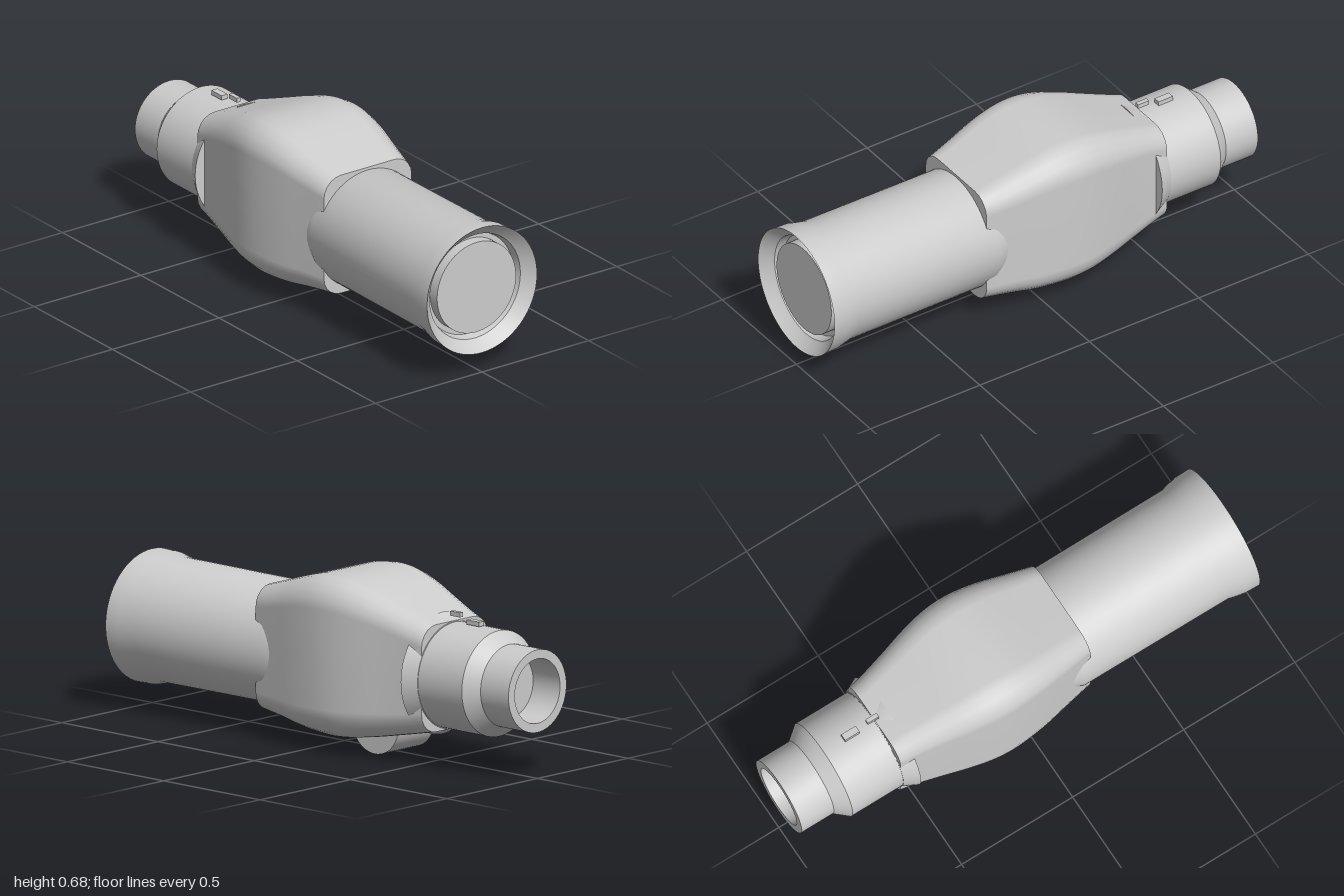
import * as THREE from 'three';
import { toCreasedNormals } from 'three/addons/utils/BufferGeometryUtils.js';

const AXIS_Y = 0.34;

// Turned part along x from [x, radius] pairs
function turned(name, profile, material) {
  const pts = profile.map(([x, r]) => new THREE.Vector2(r, x));
  const geo = new THREE.LatheGeometry(pts, 64).rotateZ(-Math.PI / 2);
  const mesh = new THREE.Mesh(toCreasedNormals(geo, 0.35), material);
  mesh.name = name;
  mesh.position.y = AXIS_Y;
  return mesh;
}

// Rounded-rectangle ring at x, as [x, y, z] points
function ring(x, top, bottom, halfWidth, radius) {
  const out = [], cy = (top + bottom) / 2, hy = (top - bottom) / 2, seg = 5;
  for (let q = 0; q < 4; q++) {
    const sz = q === 0 || q === 3 ? 1 : -1, sy = q < 2 ? 1 : -1;
    for (let i = 0; i <= seg; i++) {
      const a = (q + i / seg) * Math.PI / 2;
      out.push([x, cy + sy * (hy - radius) + radius * Math.sin(a),
        sz * (halfWidth - radius) + radius * Math.cos(a)]);
    }
  }
  return out;
}

// Loft through the rings, with flat end caps
function loft(rings) {
  const n = rings[0].length, last = rings.length - 1;
  const pos = rings.flat(2), idx = [];
  for (let i = 0; i < last; i++) {
    for (let j = 0; j < n; j++) {
      const k = (j + 1) % n, a = i * n, b = a + n;
      idx.push(a + j, b + j, a + k, b + j, b + k, a + k);
    }
  }
  for (const end of [0, last]) {
    const base = pos.length / 3;
    pos.push(...rings[end].flat());
    for (let j = 1; j < n - 1; j++) {
      if (end === 0) idx.push(base, base + j, base + j + 1);
      else idx.push(base, base + j + 1, base + j);
    }
  }
  const geo = new THREE.BufferGeometry();
  geo.setAttribute('position', new THREE.Float32BufferAttribute(pos, 3));
  geo.setIndex(idx);
  geo.computeVertexNormals();
  return geo;
}

export function createModel() {
  const group = new THREE.Group();
  group.name = 'scope';
  const grey = new THREE.MeshStandardMaterial({ color: 0xcccccc });
  grey.name = 'light grey';

  // Swollen housing: x, top, bottom, half width, corner radius
  const stations = [
    [-0.57, 0.55, 0.135, 0.183, 0.08],
    [-0.51, 0.572, 0.122, 0.192, 0.085],
    [-0.4, 0.613, 0.1, 0.216, 0.095],
    [-0.3, 0.65, 0.081, 0.241, 0.107],
    [-0.2, 0.677, 0.066, 0.26, 0.115],
    [-0.12, 0.685, 0.061, 0.266, 0.118],
    [-0.04, 0.68, 0.064, 0.262, 0.115],
    [0.05, 0.658, 0.073, 0.25, 0.105],
    [0.15, 0.627, 0.088, 0.23, 0.095],
    [0.27, 0.59, 0.103, 0.206, 0.08],
  ];
  const curve = (col) => new THREE.CatmullRomCurve3(
    stations.map((s) => new THREE.Vector3(s[0], s[col], 0)));
  const curves = [1, 2, 3, 4].map(curve);
  const rings = [];
  for (let i = 0; i <= 27; i++) {
    const p = curves.map((c) => c.getPoint(i / 27));
    rings.push(ring(p[0].x, ...p.map((v) => v.y)));
  }
  const housing = new THREE.Mesh(loft(rings), grey);
  housing.name = 'housing';
  group.add(housing);

  // Front tube with flared mouth and recessed seat
  group.add(turned('objectiveTube', [
    [0.16, 0], [0.16, 0.215], [0.23, 0.239], [0.87, 0.241], [0.94, 0.256],
    [1, 0.258], [0.965, 0.225], [0.955, 0.213], [0.92, 0.205], [0.92, 0],
  ], grey));
  group.add(turned('objectiveLens', [
    [0.9, 0.185], [0.965, 0.185], [0.965, 0],
  ], grey));

  // Stepped eyepiece with hollow cup
  group.add(turned('eyepiece', [
    [-0.86, 0], [-0.86, 0.125], [-1, 0.125], [-1, 0.16], [-0.855, 0.16],
    [-0.8, 0.205], [-0.53, 0.205], [-0.53, 0],
  ], grey));

  // Flared collar where the eyepiece meets the housing
  group.add(turned('collar', [
    [-0.572, 0.16], [-0.572, 0.207], [-0.512, 0.236], [-0.512, 0.16],
  ], grey));

  // Adjustment wheel under the housing
  const wheel = new THREE.Mesh(
    toCreasedNormals(new THREE.CylinderGeometry(0.122, 0.122, 0.2, 48).rotateX(Math.PI / 2), 0.5), grey);
  wheel.name = 'adjustmentWheel';
  wheel.position.set(-0.25, 0.124, 0);
  group.add(wheel);

  // Small index marks above the eyepiece
  for (const [name, x, y, w, d] of [
    ['rearMark', -0.678, 0.557, 0.065, 0.028],
    ['frontMark', -0.58, 0.577, 0.05, 0.018],
  ]) {
    const mark = new THREE.Mesh(new THREE.BoxGeometry(w, 0.018, d), grey);
    mark.name = name;
    mark.position.set(x, y, 0);
    group.add(mark);
  }
  return group;
}
